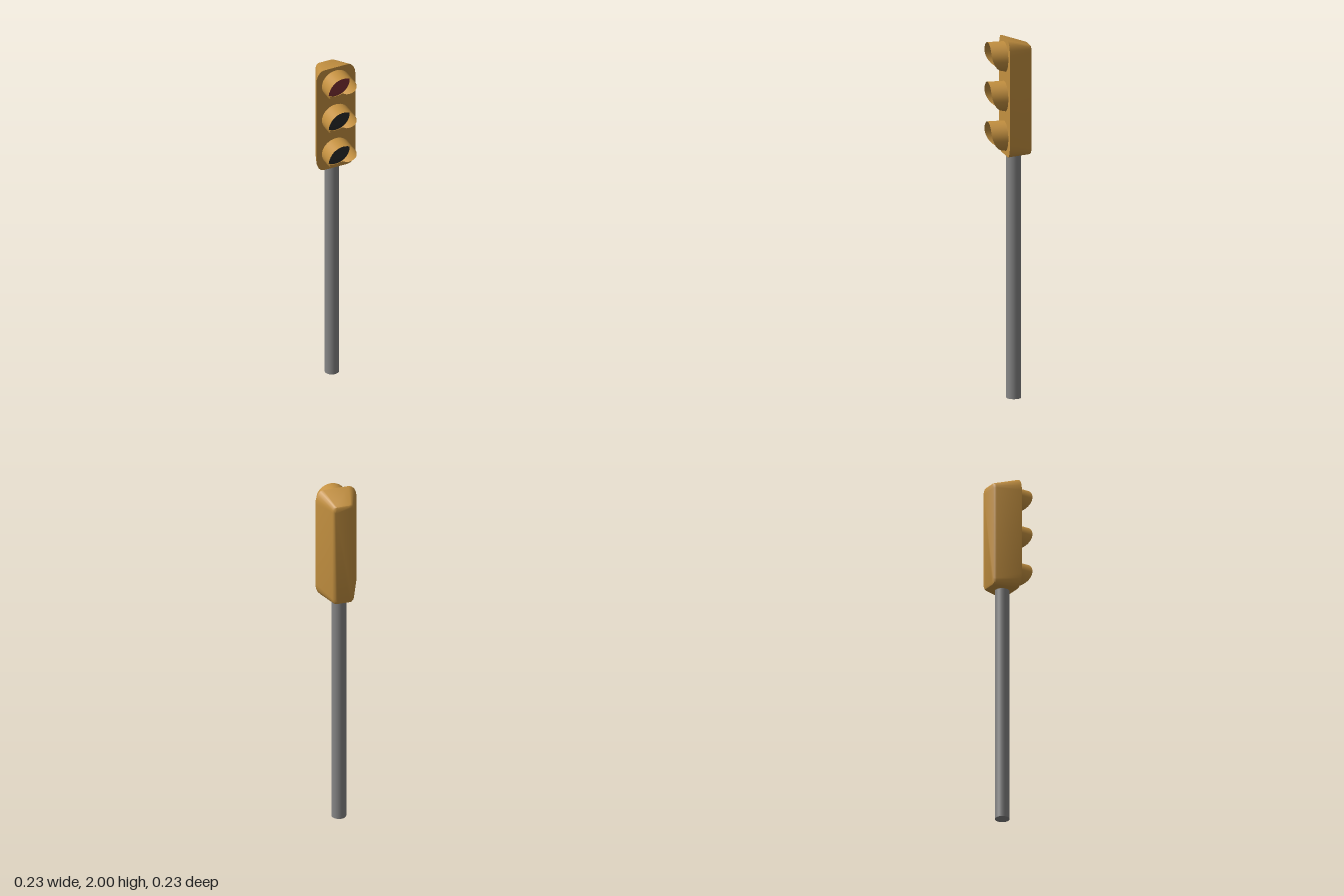
import * as THREE from 'three';
import { toCreasedNormals } from 'three/addons/utils/BufferGeometryUtils.js';

const FRONT = 0.023;
const RADIUS = 0.083;

// Outline with rounded corners, counter-clockwise seen from the front
function outline({ z, w, top, bottom, cx, cy }) {
  const corners = [[w, top, 1, 1], [-w, top, -1, 1], [-w, bottom, -1, -1], [w, bottom, 1, -1]];
  const points = [];
  corners.forEach(([x, y, sx, sy], k) => {
    for (let i = 0; i <= 4; i++) {
      const a = (k + i / 4) * Math.PI / 2;
      points.push(new THREE.Vector3(x - sx * cx + Math.cos(a) * cx, y - sy * cy + Math.sin(a) * cy, z));
    }
  });
  return points;
}

// Closed solid through outlines running from front to back
function loft(sections) {
  const loops = sections.map(outline);
  const pos = [];
  const tri = (...p) => p.forEach(v => pos.push(v.x, v.y, v.z));
  const n = loops[0].length;
  const last = loops[loops.length - 1];
  for (let i = 0; i < n; i++) {
    const j = (i + 1) % n;
    for (let s = 0; s < loops.length - 1; s++) {
      const a = loops[s], b = loops[s + 1];
      tri(a[i], b[i], a[j]);
      tri(a[j], b[i], b[j]);
    }
    if (i > 0 && i < n - 1) {
      tri(loops[0][0], loops[0][i], loops[0][j]);
      tri(last[0], last[j], last[i]);
    }
  }
  const g = new THREE.BufferGeometry();
  g.setAttribute('position', new THREE.Float32BufferAttribute(pos, 3));
  return toCreasedNormals(g, 0.6);
}

// Open tube whose front rim is cut back in a curve towards the bottom
function visorGeometry() {
  const g = new THREE.CylinderGeometry(RADIUS, RADIUS, 1, 40, 1, true);
  g.rotateX(Math.PI / 2);
  const p = g.attributes.position;
  for (let i = 0; i < p.count; i++) {
    const t = THREE.MathUtils.clamp((0.043 - p.getY(i)) / 0.117, 0, 1);
    const depth = 0.003 + 0.089 * Math.sqrt(1 - t * t);
    p.setZ(i, p.getZ(i) > 0 ? depth : -0.002);
  }
  return g;
}

// Shallow dome facing forward
function lensGeometry() {
  const g = new THREE.SphereGeometry(RADIUS - 0.001, 32, 6, 0, Math.PI * 2, 0, Math.PI / 2);
  g.rotateX(Math.PI / 2);
  g.scale(1, 1, 0.15);
  return g;
}

export function createModel() {
  const material = (name, color, side = THREE.FrontSide) => {
    const m = new THREE.MeshStandardMaterial({ color, side });
    m.name = name;
    return m;
  };
  const amber = material('amber paint', 0xc39040, THREE.DoubleSide);
  const red = material('red glass', 0x7d3034);
  const black = material('dark glass', 0x282a2a);
  const grey = material('grey metal', 0x868686);

  const model = new THREE.Group();
  model.name = 'trafficLight';
  const add = (name, geometry, mat, x, y, z) => {
    const mesh = new THREE.Mesh(geometry, mat);
    mesh.name = name;
    mesh.position.set(x, y, z);
    model.add(mesh);
  };

  // Pole
  add('pole', new THREE.CylinderGeometry(0.04, 0.04, 1.365, 32), grey, 0, 1.365 / 2, -0.028);

  // Housing tapering towards the back
  add('housing', loft([
    { z: FRONT, w: 0.117, top: 2.0, bottom: 1.353, cx: 0.045, cy: 0.075 },
    { z: FRONT - 0.004, w: 0.116, top: 1.999, bottom: 1.353, cx: 0.045, cy: 0.075 },
    { z: -0.104, w: 0.062, top: 1.962, bottom: 1.356, cx: 0.022, cy: 0.035 },
    { z: -0.112, w: 0.056, top: 1.958, bottom: 1.36, cx: 0.02, cy: 0.032 },
    { z: -0.116, w: 0.046, top: 1.95, bottom: 1.37, cx: 0.016, cy: 0.026 },
  ]), amber, 0, 0, 0);

  // Lamps, each with a lens and a visor
  const visor = visorGeometry();
  const lens = lensGeometry();
  [['top', 1.897, red], ['middle', 1.677, black], ['bottom', 1.457, black]].forEach(([name, y, glass]) => {
    add(name + 'Lens', lens, glass, 0, y, FRONT);
    add(name + 'Visor', visor, amber, 0, y, FRONT);
  });

  return model;
}
